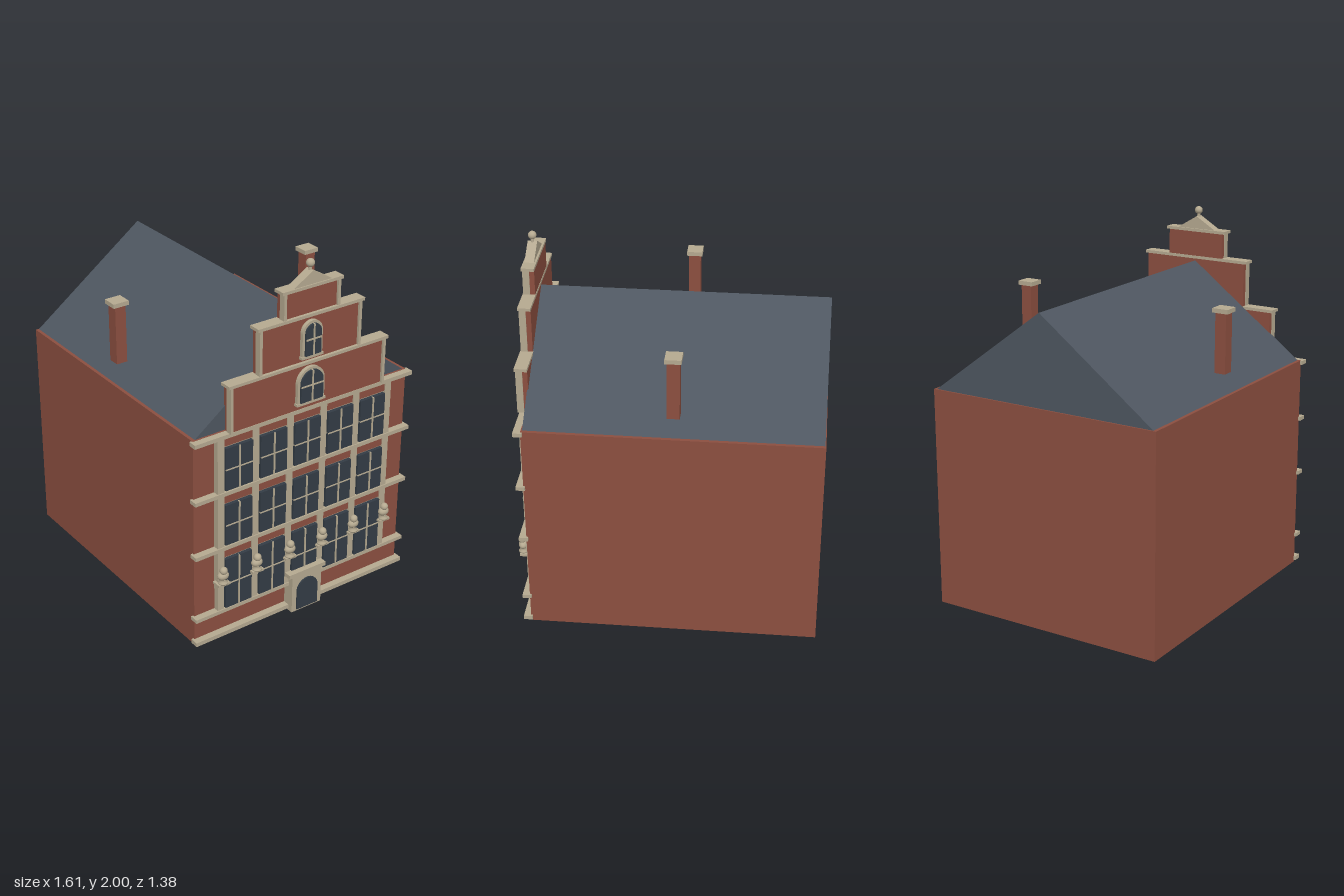
import * as THREE from 'three';

const material = (color) => new THREE.MeshStandardMaterial({ color });
const brick = material(0x8c4f40);
const slate = material(0x4e5660);
const stone = material(0xb5a990);
const glass = material(0x333c45);

function add(parent, name, geometry, mat) {
  const mesh = new THREE.Mesh(geometry, mat);
  mesh.name = name;
  parent.add(mesh);
  return mesh;
}

// Box given by its limits on each axis
function box(parent, name, mat, x0, x1, y0, y1, z0, z1) {
  const mesh = add(parent, name, new THREE.BoxGeometry(x1 - x0, y1 - y0, z1 - z0), mat);
  mesh.position.set((x0 + x1) / 2, (y0 + y1) / 2, (z0 + z1) / 2);
  return mesh;
}

// Round-headed outline of half width r between y0 and y1
function archPath(r, y0, y1, Type = THREE.Shape) {
  const path = new Type();
  path.moveTo(-r, y0);
  path.lineTo(r, y0);
  path.lineTo(r, y1 - r);
  path.absarc(0, y1 - r, r, 0, Math.PI, false);
  path.lineTo(-r, y0);
  return path;
}

function extrude(parent, name, mat, shape, z0, z1) {
  const geometry = new THREE.ExtrudeGeometry(shape, { depth: z1 - z0, bevelEnabled: false, curveSegments: 16 });
  const mesh = add(parent, name, geometry, mat);
  mesh.position.z = z0;
  return mesh;
}

// Gabled prism centred on x = 0
function prism(parent, name, mat, halfWidth, y0, y1, z0, z1) {
  const shape = new THREE.Shape([
    new THREE.Vector2(-halfWidth, y0), new THREE.Vector2(halfWidth, y0), new THREE.Vector2(0, y1),
  ]);
  return extrude(parent, name, mat, shape, z0, z1);
}

// Rectangular window with a cross of glazing bars
function crossWindow(parent, x, y0, y1) {
  const g = new THREE.Group();
  g.name = 'window';
  const w = 0.082, mid = (y0 + y1) / 2;
  box(g, 'windowGlass', glass, x - w, x + w, y0, y1, 0.74, 0.77);
  box(g, 'verticalBar', stone, x - 0.004, x + 0.004, y0, y1, 0.76, 0.776);
  box(g, 'horizontalBar', stone, x - w, x + w, mid - 0.003, mid + 0.003, 0.76, 0.774);
  parent.add(g);
}

// Arched gable window with surround, bars and sill
function archWindow(parent, r, y0, y1) {
  const g = new THREE.Group();
  g.name = 'archedWindow';
  const t = 0.014;
  const frame = archPath(r, y0, y1);
  frame.holes.push(archPath(r - t, y0 + t, y1 - t, THREE.Path));
  extrude(g, 'archSurround', stone, frame, 0.74, 0.785);
  extrude(g, 'archGlass', glass, archPath(r - t, y0 + t, y1 - t), 0.745, 0.795);
  const bar = y0 + (y1 - y0) * 0.52;
  box(g, 'verticalBar', stone, -0.004, 0.004, y0 + t, y1 - t, 0.78, 0.8);
  box(g, 'horizontalBar', stone, t - r, r - t, bar - 0.004, bar + 0.004, 0.78, 0.799);
  box(g, 'sill', stone, -r - 0.006, r + 0.006, y0 - 0.003, y0 + 0.01, 0.74, 0.79);
  parent.add(g);
}

// Small bust on a shelf bracket
function bust(parent, x) {
  const g = new THREE.Group();
  g.name = 'bust';
  box(g, 'bustShelf', stone, -0.035, 0.035, 0.343, 0.356, 0.74, 0.795);
  const profile = [[0, 0.354], [0.026, 0.354], [0.026, 0.362], [0.017, 0.37], [0.02, 0.382]];
  const foot = add(g, 'bustFoot', new THREE.LatheGeometry(profile.map((p) => new THREE.Vector2(...p)), 16), stone);
  foot.position.z = 0.78;
  const torso = add(g, 'bustTorso', new THREE.SphereGeometry(0.033, 16, 10), stone);
  torso.scale.set(1, 0.72, 0.75);
  torso.position.set(0, 0.4, 0.78);
  const head = add(g, 'bustHead', new THREE.SphereGeometry(0.021, 16, 12), stone);
  head.position.set(0, 0.432, 0.785);
  g.position.x = x;
  parent.add(g);
}

function buildFacade() {
  const f = new THREE.Group();
  f.name = 'facade';

  // Stone field behind the window grid, with full-width string courses
  box(f, 'windowField', stone, -0.545, 0.545, 0.17, 1.195, 0.72, 0.75);
  for (const [y0, y1] of [[0.012, 0.035], [0.158, 0.178], [0.535, 0.556], [0.855, 0.876], [1.18, 1.202]]) {
    box(f, 'stringCourse', stone, -0.69, 0.69, y0, y1, 0.72, 0.768);
  }
  // Pilasters and the busts standing on them
  for (let i = 0; i < 6; i++) {
    const x = (i - 2.5) * 0.213;
    box(f, 'pilaster', stone, x - 0.02, x + 0.02, 0.178, 1.18, 0.73, 0.762);
    bust(f, x);
  }
  // Three storeys of five windows, with a brick panel above each
  for (const [y0, y1, p0, p1] of [[0.183, 0.48, 0.487, 0.533], [0.565, 0.8, 0.806, 0.852], [0.885, 1.125, 1.132, 1.178]]) {
    for (let i = -2; i <= 2; i++) {
      crossWindow(f, i * 0.213, y0, y1);
      box(f, 'brickPanel', brick, i * 0.213 - 0.09, i * 0.213 + 0.09, p0, p1, 0.74, 0.756);
    }
  }

  // Doorway
  const surround = new THREE.Shape([[-0.097, 0], [0.097, 0], [0.097, 0.222], [-0.097, 0.222]]
    .map((p) => new THREE.Vector2(...p)));
  surround.holes.push(archPath(0.068, 0.012, 0.192, THREE.Path));
  extrude(f, 'doorSurround', stone, surround, 0.72, 0.797);
  extrude(f, 'door', glass, archPath(0.068, 0.012, 0.192), 0.72, 0.805);
  box(f, 'doorCornice', stone, -0.12, 0.12, 0.222, 0.245, 0.72, 0.803);

  // Stepped gable: brick tier, stone edges and coping
  for (const [w, y0, y1] of [[0.482, 1.2, 1.452], [0.312, 1.452, 1.708], [0.17, 1.708, 1.862]]) {
    box(f, 'gableTier', brick, -w, w, y0, y1, 0.716, 0.765);
    for (const s of [-1, 1]) {
      const a = s * (w - 0.012), b = s * (w + 0.004);
      box(f, 'gableEdge', stone, Math.min(a, b), Math.max(a, b), y0, y1, 0.742, 0.778);
    }
    box(f, 'gableCoping', stone, -w - 0.017, w + 0.017, y1 - 0.002, y1 + 0.014, 0.714, 0.782);
  }
  archWindow(f, 0.084, 1.236, 1.434);
  archWindow(f, 0.062, 1.49, 1.686);

  // Crowning pediment and ball
  prism(f, 'pediment', stone, 0.12, 1.874, 1.946, 0.725, 0.775);
  add(f, 'finialStem', new THREE.CylinderGeometry(0.008, 0.01, 0.04, 12), stone).position.set(0, 1.95, 0.75);
  add(f, 'finialBall', new THREE.SphereGeometry(0.022, 20, 14), stone).position.set(0, 1.978, 0.75);
  return f;
}

export function createModel() {
  const model = new THREE.Group();
  model.name = 'townhouse';

  // Built facing +z, then turned so the facade faces +x
  const house = new THREE.Group();
  house.name = 'house';
  house.rotation.y = Math.PI / 2;
  model.add(house);

  box(house, 'walls', brick, -0.677, 0.677, 0, 1.203, -0.808, 0.73);
  prism(house, 'roof', slate, 0.66, 1.204, 1.695, -0.803, 0.722);

  // Chimneys near both eaves
  for (const s of [-1, 1]) {
    const x = s * 0.61;
    box(house, 'chimneyShaft', brick, x - 0.031, x + 0.031, 1.305, 1.63, -0.075, -0.01);
    box(house, 'chimneyCap', stone, x - 0.045, x + 0.045, 1.625, 1.648, -0.085, 0);
  }
  house.add(buildFacade());
  return model;
}
